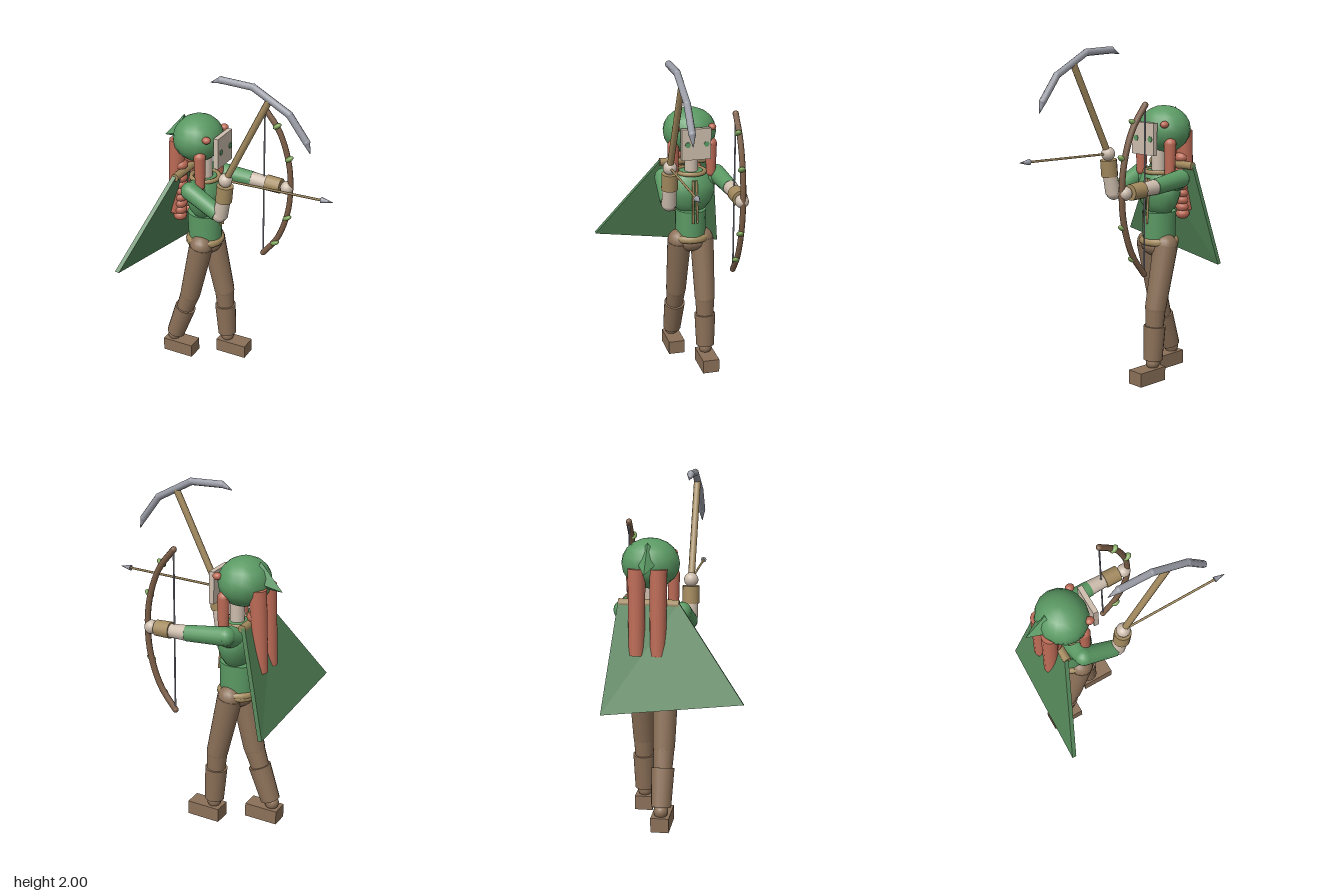
import * as THREE from 'three';

const mat = (name, color, side = THREE.FrontSide) => {
  const m = new THREE.MeshStandardMaterial({ color, side });
  m.name = name;
  return m;
};

export function createModel() {
  const root = new THREE.Group();
  root.name = 'archer';
  const green = mat('tunicGreen', 0x5b9a64);
  const capeGreen = mat('capeGreen', 0x548558);
  const brown = mat('trouserBrown', 0x8b7058);
  const tan = mat('leatherTan', 0xa38a5e);
  const skin = mat('skin', 0xcdbdad);
  const red = mat('hairRed', 0xbd6b56);
  const steel = mat('steel', 0x9a9ca6);
  const wood = mat('bowWood', 0x7c5e47);
  const leaf = mat('leafGreen', 0x7fa55a);
  const V = (p) => new THREE.Vector3(...p);
  const UP = new THREE.Vector3(0, 1, 0);

  const add = (name, geo, m, pos = [0, 0, 0], parent = root) => {
    const mesh = new THREE.Mesh(geo, m);
    mesh.name = name;
    mesh.position.set(...pos);
    parent.add(mesh);
    return mesh;
  };
  // tapered round limb from a to b
  const limb = (name, a, b, ra, rb, m, sides = 14) => {
    const d = V(b).sub(V(a));
    const mesh = add(name, new THREE.CylinderGeometry(rb, ra, d.length(), sides), m);
    mesh.position.copy(V(a)).addScaledVector(d, 0.5);
    mesh.quaternion.setFromUnitVectors(UP, d.normalize());
    return mesh;
  };
  const ball = (name, p, r, m, s = [1, 1, 1]) => {
    const mesh = add(name, new THREE.SphereGeometry(r, 16, 10), m, p);
    mesh.scale.set(...s);
    return mesh;
  };
  const box = (name, size, p, m) => add(name, new THREE.BoxGeometry(...size), m, p);
  // flat-shaded solid from corners and triangles
  const solid = (name, pts, faces, m) => {
    const geo = new THREE.BufferGeometry();
    geo.setAttribute('position', new THREE.Float32BufferAttribute(faces.flatMap((i) => pts[i]), 3));
    geo.computeVertexNormals();
    return add(name, geo, m);
  };

  const Z = -0.15; // middle of the body

  // hood with its drooping point
  ball('hood', [-0.335, 1.513, Z], 0.16, green, [0.94, 0.88, 1.03]);
  const hoodPoint = mat('hoodGreen', 0x5b9a64, THREE.DoubleSide);
  solid('hoodPoint', [
    [-0.565, 1.485, Z], [-0.43, 1.64, Z], [-0.415, 1.55, -0.225], [-0.415, 1.55, -0.075], [-0.43, 1.49, Z],
  ], [0, 1, 2, 0, 3, 1, 0, 2, 4, 0, 4, 3], hoodPoint);

  // face plate and eyes
  box('face', [0.03, 0.19, 0.18], [-0.172, 1.47, -0.148], skin);
  for (const z of [-0.095, -0.21]) {
    const eye = add('eye', new THREE.CylinderGeometry(0.018, 0.018, 0.006, 6), green, [-0.156, 1.47, z]);
    eye.rotation.z = Math.PI / 2;
  }
  limb('neck', [-0.29, 1.24, Z], [-0.29, 1.42, Z], 0.042, 0.042, skin);

  // hair: fringe, front locks, back fall and braids
  for (const s of [-1, 1]) {
    ball('fringe', [-0.222, 1.555, Z + s * 0.112], 0.03, red, [0.9, 0.7, 0.8]);
    const z = Z + s * 0.118;
    limb('frontLock', [-0.265, 1.26, z], [-0.265, 1.44, z], 0.03, 0.036, red);
    ball('lockTop', [-0.265, 1.44, z], 0.036, red);
    ball('lockTip', [-0.265, 1.26, z], 0.03, red);
    const zb = Z + s * 0.06;
    limb('backHair', [-0.47, 1.02, zb], [-0.445, 1.5, zb], 0.045, 0.05, red);
    for (let i = 0; i < 9; i++) {
      ball('braidBead', [-0.425 - i * 0.002, 1.34 - i * 0.043, zb], 0.042, red, [1, 0.8, 1]);
    }
  }

  // torso, belt, collar and cords
  const waist = limb('waist', [-0.3, 0.85, Z], [-0.3, 1.025, Z], 0.105, 0.11, green, 18);
  waist.scale.z = 0.88;
  const chest = add('chest', new THREE.LatheGeometry([
    [0.001, -0.13], [0.085, -0.125], [0.125, -0.075], [0.15, -0.01], [0.145, 0.04], [0.115, 0.1], [0.085, 0.125], [0.001, 0.13],
  ].map((p) => new THREE.Vector2(...p)), 20), green, [-0.295, 1.145, Z]);
  chest.scale.x = 0.7;
  const hips = ball('hips', [-0.295, 0.81, Z], 0.1, brown, [1, 0.7, 1.1]);
  hips.position.y = 0.815;
  for (const [y, tilt] of [[0.845, 0], [0.835, 0.07]]) {
    const belt = add('belt', new THREE.TorusGeometry(0.1, 0.021, 8, 20), tan, [-0.3, y, Z]);
    belt.rotation.set(Math.PI / 2, tilt, 0);
  }
  const collar = add('collar', new THREE.TorusGeometry(0.085, 0.014, 8, 20), tan, [-0.295, 1.265, Z]);
  collar.rotation.x = Math.PI / 2;
  for (const s of [-1, 1]) {
    limb('cord', [-0.2, 1.23, Z + s * 0.01], [-0.182, 0.96, Z + s * 0.014], 0.008, 0.007, tan, 6);
  }

  // cape hanging from a rod across the shoulders
  limb('capeRod', [-0.407, 1.3, -0.32], [-0.407, 1.3, 0.02], 0.024, 0.024, tan, 10);
  const hem = [[-0.425, 1.31, 0.02], [-0.425, 1.31, -0.32], [-0.582, 0.695, -0.4], [-0.615, 0.8, 0.4]];
  const inner = hem.map(([x, y, z]) => [x + 0.025, y - 0.005, z]);
  const capeFaces = [0, 1, 2, 0, 2, 3, 4, 6, 5, 4, 7, 6];
  for (let i = 0; i < 4; i++) {
    const j = (i + 1) % 4;
    capeFaces.push(i, i + 4, j, j, i + 4, j + 4);
  }
  capeGreen.side = THREE.DoubleSide;
  solid('cape', [...hem, ...inner], capeFaces, capeGreen);

  // legs: one stepping back, one forward
  for (const [z, hip, knee, ankle, foot] of [
    [-0.075, -0.29, -0.375, -0.5, -0.45],
    [-0.22, -0.285, -0.205, -0.185, -0.138],
  ]) {
    const cuff = knee + (ankle - knee) * 0.3;
    limb('thigh', [hip, 0.82, z], [knee, 0.45, z], 0.075, 0.064, brown);
    ball('hipJoint', [hip, 0.82, z], 0.073, brown);
    ball('knee', [knee, 0.45, z], 0.063, brown);
    limb('shin', [knee, 0.45, z], [ankle, 0.1, z], 0.062, 0.04, brown);
    limb('boot', [cuff, 0.34, z], [ankle + (cuff - ankle) * 0.13, 0.13, z], 0.067, 0.058, brown);
    ball('ankle', [ankle, 0.11, z], 0.042, brown);
    box('foot', [0.205, 0.085, 0.105], [foot, 0.0425, z], brown);
  }

  // arm holding the bow
  ball('bowShoulder', [-0.305, 1.235, -0.315], 0.055, green);
  limb('bowShoulderBridge', [-0.305, 1.2, -0.22], [-0.305, 1.23, -0.315], 0.07, 0.055, green);
  limb('bowSleeve', [-0.305, 1.235, -0.315], [-0.07, 1.215, -0.335], 0.055, 0.047, green);
  limb('bowForearm', [-0.07, 1.215, -0.335], [0.04, 1.21, -0.337], 0.045, 0.04, skin);
  limb('bowBracer', [0.03, 1.212, -0.337], [0.125, 1.208, -0.337], 0.049, 0.047, tan);
  ball('bowHand', [0.163, 1.206, -0.335], 0.041, skin);

  // raised arm holding the pick and arrow
  ball('pickShoulder', [-0.305, 1.235, 0.02], 0.056, green);
  limb('pickShoulderBridge', [-0.305, 1.2, -0.08], [-0.305, 1.235, 0.02], 0.07, 0.055, green);
  limb('pickSleeve', [-0.305, 1.235, 0.02], [-0.115, 1.14, 0.036], 0.056, 0.05, green);
  ball('elbow', [-0.1, 1.135, 0.037], 0.047, skin);
  limb('pickForearm', [-0.095, 1.13, 0.037], [-0.066, 1.27, 0.04], 0.046, 0.042, skin);
  limb('pickBracer', [-0.07, 1.235, 0.04], [-0.06, 1.335, 0.04], 0.05, 0.05, tan);
  ball('pickHand', [-0.057, 1.37, 0.04], 0.042, skin);

  // pick: shaft and a bent head with pointed ends
  limb('pickShaft', [-0.057, 1.37, 0.04], [0.215, 1.915, 0.04], 0.02, 0.02, tan, 8);
  const head = [[-0.145, 1.953], [-0.08, 1.978], [0.115, 1.97], [0.335, 1.85], [0.44, 1.71], [0.465, 1.645]]
    .map(([x, y]) => [x, y, 0.04]);
  const radii = [0.002, 0.021, 0.021, 0.021, 0.021, 0.002];
  for (let i = 0; i < 5; i++) {
    limb('pickHead', head[i], head[i + 1], radii[i], radii[i + 1], steel, 8);
    if (i) ball('pickBend', head[i], 0.021, steel);
  }

  // arrow
  limb('arrowShaft', [-0.05, 1.37, 0.04], [0.55, 1.381, 0.04], 0.007, 0.007, tan, 6);
  limb('arrowHead', [0.54, 1.381, 0.04], [0.61, 1.382, 0.04], 0.018, 0.001, steel, 8);

  // bow, string and leaves
  const bow = new THREE.CatmullRomCurve3([
    [0.01, 1.69], [0.105, 1.565], [0.17, 1.38], [0.187, 1.205], [0.17, 1.03], [0.105, 0.845], [0.01, 0.718],
  ].map(([x, y]) => new THREE.Vector3(x, y, -0.335)));
  add('bow', new THREE.TubeGeometry(bow, 24, 0.018, 8), wood);
  for (const t of [0, 1]) ball('bowTip', bow.getPoint(t).toArray(), 0.018, wood);
  limb('bowString', [0.01, 0.72, -0.335], [0.01, 1.69, -0.335], 0.005, 0.005, steel, 6);
  for (const [x, y, a] of [[0.095, 1.597, 0.6], [0.178, 1.402, 0.6], [0.173, 1.008, 0.5], [0.095, 0.815, 0.5]]) {
    ball('leaf', [x, y, -0.325], 0.03, leaf, [1, 0.5, 0.7]).rotation.z = a;
  }
  return root;
}
